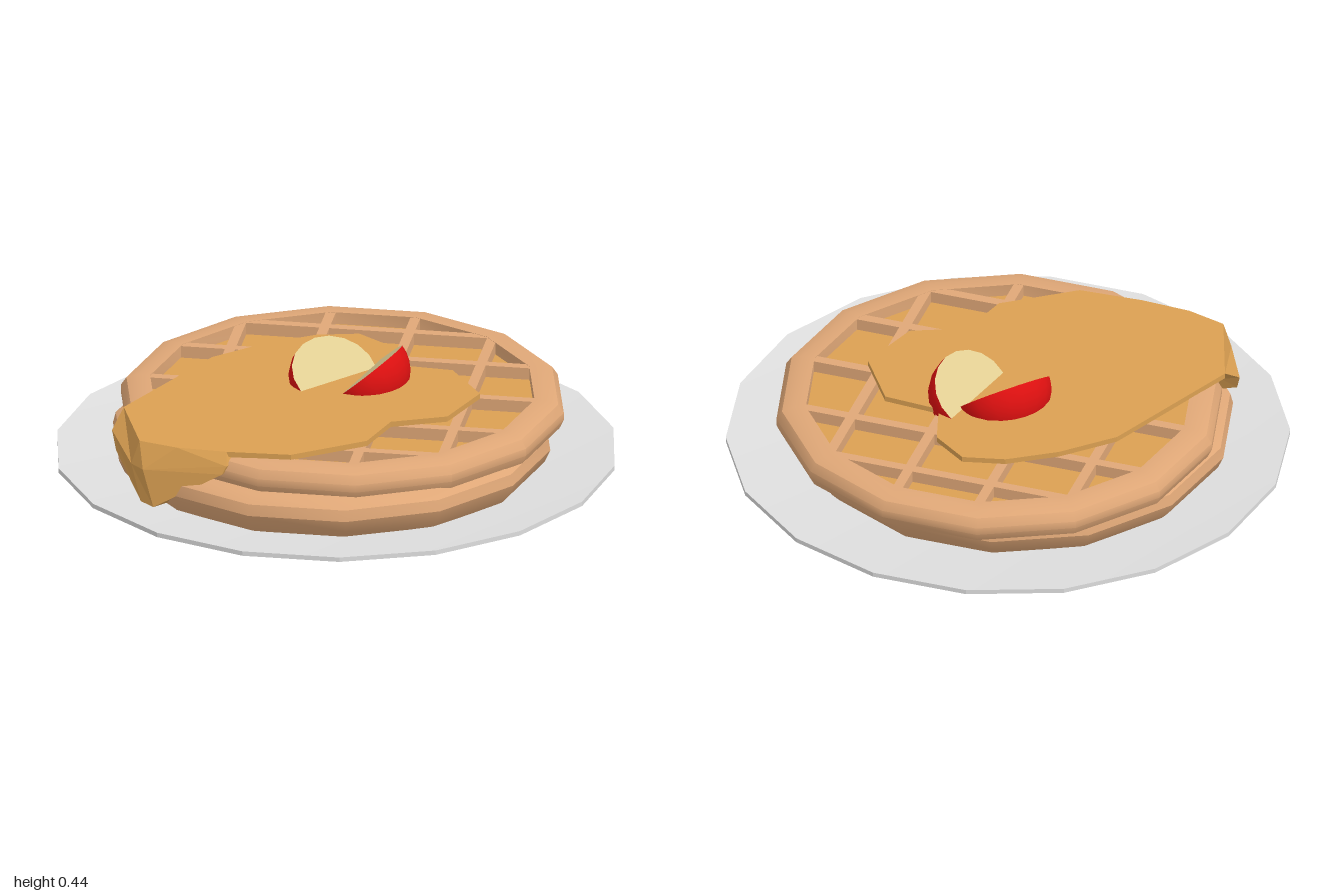
import * as THREE from 'three';
import { toCreasedNormals } from 'three/addons/utils/BufferGeometryUtils.js';

const material = (name, color, side = THREE.FrontSide) => {
  const m = new THREE.MeshStandardMaterial({ color, side });
  m.name = name;
  return m;
};

export function createModel() {
  const model = new THREE.Group();
  const china = material('china', 0xdedede);
  const batter = material('waffle batter', 0xdfa777);
  const syrup = material('syrup', 0xdba052, THREE.DoubleSide);
  const red = material('strawberry skin', 0xdd1010);
  const flesh = material('strawberry flesh', 0xe0cd92, THREE.DoubleSide);

  const add = (parent, name, geometry, mat) => {
    const mesh = new THREE.Mesh(geometry, mat);
    mesh.name = name;
    parent.add(mesh);
    return mesh;
  };
  const group = (name, x, y, z) => {
    const g = new THREE.Group();
    g.name = name;
    g.position.set(x, y, z);
    model.add(g);
    return g;
  };
  // Turned solid with a corner on the x axis
  const turned = (profile, sides, crease) => toCreasedNormals(new THREE.LatheGeometry(
    profile.map(([r, y]) => new THREE.Vector2(r, y)), sides, Math.PI / 2), crease);

  // Plate with a foot
  add(model, 'plate', turned([
    [0, 0], [0.5, 0], [0.5, 0.035], [1, 0.08], [1, 0.097], [0.5, 0.05], [0, 0.05],
  ], 18, 0.3), china);

  // Lower waffle
  const lower = group('lowerWaffle', -0.012, 0, 0.022);
  add(lower, 'lowerWaffleBody', turned([
    [0, 0.055], [0.72, 0.055], [0.765, 0.105], [0.785, 0.15], [0.775, 0.19], [0.735, 0.213], [0, 0.213],
  ], 14, 0.6), batter);

  // Upper waffle: rim, sunken floor and crossing ribs
  const upper = group('upperWaffle', 0.013, 0, -0.06);
  add(upper, 'upperWaffleRim', turned([
    [0, 0.203], [0.78, 0.203], [0.795, 0.235], [0.795, 0.262], [0.775, 0.292], [0.735, 0.305],
    [0.69, 0.305], [0.69, 0.255],
  ], 14, 0.6), batter);
  const floor = add(upper, 'waffleFloor', new THREE.CircleGeometry(0.7, 14), syrup);
  floor.rotation.x = -Math.PI / 2;
  floor.position.y = 0.26;
  const rib = (x, z, alongX) => {
    const length = 2 * Math.sqrt(0.71 ** 2 - x * x - z * z);
    const size = alongX ? [length, 0.05, 0.036] : [0.036, 0.05, length];
    add(upper, 'waffleRib', new THREE.BoxGeometry(...size), batter).position.set(x, 0.279, z);
  };
  for (const x of [-0.45, -0.152, 0.152, 0.45]) rib(x, 0, false);
  for (const z of [-0.547, -0.3, 0, 0.3, 0.547]) rib(0, z, true);

  // Syrup pool
  const outline = [
    [0, -0.51], [-0.15, -0.475], [-0.315, -0.37], [-0.48, -0.215], [-0.715, 0.285], [-0.61, 0.58],
    [-0.47, 0.62], [-0.29, 0.63], [-0.06, 0.62], [0.185, 0.45], [0.24, 0.265], [0.43, 0.185],
    [0.51, -0.04], [0.38, -0.235], [0.175, -0.25], [0.125, -0.42],
  ];
  const pool = new THREE.ExtrudeGeometry(
    new THREE.Shape(outline.map(([x, z]) => new THREE.Vector2(x, -z))),
    { depth: 0.02, bevelEnabled: false });
  pool.rotateX(-Math.PI / 2);
  add(model, 'syrupPool', pool, syrup).position.y = 0.304;

  // Syrup drip: three rows running round the front corner, top to bottom
  const rows = [
    [[-0.715, 0.324, 0.285], [-0.61, 0.324, 0.58], [-0.47, 0.324, 0.62], [-0.29, 0.324, 0.63]],
    [[-0.745, 0.265, 0.36], [-0.64, 0.235, 0.58], [-0.59, 0.235, 0.63], [-0.285, 0.28, 0.66]],
    [[-0.725, 0.2, 0.39], [-0.6, 0.105, 0.61], [-0.55, 0.1, 0.645], [-0.3, 0.25, 0.665]],
  ];
  const rings = rows.map((row) => [
    ...row, ...[...row].reverse().map(([x, y, z]) => [x * 0.92, y, z * 0.92]),
  ]);
  const corners = [];
  const quad = (a, b, c, d) => corners.push(...a, ...b, ...c, ...a, ...c, ...d);
  for (let r = 0; r < 2; r++) {
    for (let i = 0; i < 8; i++) {
      const j = (i + 1) % 8;
      quad(rings[r][i], rings[r + 1][i], rings[r + 1][j], rings[r][j]);
    }
  }
  const end = rings[2];
  for (let i = 0; i < 3; i++) quad(end[i], end[7 - i], end[6 - i], end[i + 1]);
  const drip = new THREE.BufferGeometry();
  drip.setAttribute('position', new THREE.Float32BufferAttribute(corners, 3));
  drip.computeVertexNormals();
  add(model, 'syrupDrip', drip, syrup);

  // Strawberry halves, sunk into the syrup with the cut side tilted up
  const skin = new THREE.SphereGeometry(1, 18, 8, 0, Math.PI * 2, Math.PI / 2, Math.PI / 2);
  const cut = new THREE.CircleGeometry(1, 18).rotateX(-Math.PI / 2);
  for (const [name, x, z, turn] of [
    ['rightStrawberry', -0.02, -0.1, 2.42],
    ['leftStrawberry', 0.092, -0.122, -0.24],
  ]) {
    const berry = group(name, x, 0.342, z);
    berry.rotation.set(0, turn, 0.72, 'YXZ');
    berry.scale.set(0.15, 0.15, 0.175);
    add(berry, 'strawberrySkin', skin, red);
    add(berry, 'strawberryCutFace', cut, flesh);
  }
  return model;
}
